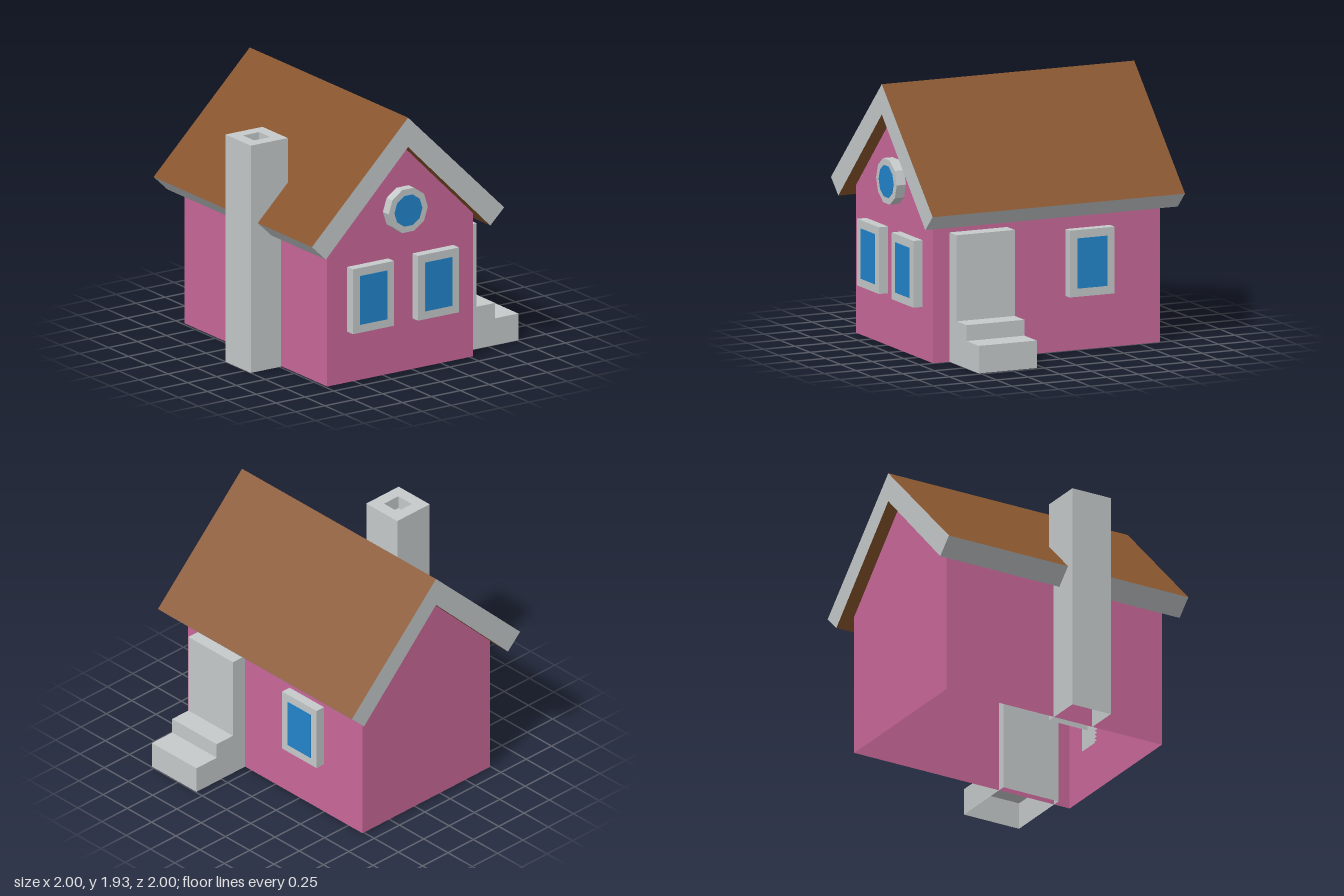
import * as THREE from 'three';

const make = (name, color) => {
  const m = new THREE.MeshStandardMaterial({ color, side: THREE.DoubleSide });
  m.name = name;
  return m;
};

// Keep only the triangles whose normal n and centre c pass the test
function keepFaces(geometry, test) {
  const src = geometry.index ? geometry.toNonIndexed() : geometry;
  const p = src.attributes.position;
  const out = [];
  const t = new THREE.Triangle();
  const n = new THREE.Vector3();
  const c = new THREE.Vector3();
  for (let i = 0; i < p.count; i += 3) {
    t.setFromAttributeAndIndices(p, i, i + 1, i + 2);
    t.getNormal(n);
    t.getMidpoint(c);
    if (test(n, c)) for (const v of [t.a, t.b, t.c]) out.push(v.x, v.y, v.z);
  }
  const g = new THREE.BufferGeometry();
  g.setAttribute('position', new THREE.Float32BufferAttribute(out, 3));
  g.computeVertexNormals();
  return g;
}

// Straight prism of an xy outline between two z values
function prism(points, z0, z1) {
  const shape = new THREE.Shape(points.map(([x, y]) => new THREE.Vector2(x, y)));
  return new THREE.ExtrudeGeometry(shape, { depth: z1 - z0, bevelEnabled: false }).translate(0, 0, z0);
}

export function createModel() {
  const pink = make('pink wall', 0xc96899);
  const grey = make('light grey stone', 0xc5c9ca);
  const brown = make('brown roof', 0x88552d);
  const blue = make('blue glass', 0x2285cb);

  const house = new THREE.Group();
  house.name = 'house';
  const add = (parent, name, geometry, material) => {
    const mesh = new THREE.Mesh(geometry, material);
    mesh.name = name;
    parent.add(mesh);
    return mesh;
  };

  const ridge = -0.11;
  const floor = 0.005;

  // Gabled walls, open below and under the roof
  const wallProfile = [[-0.74, floor], [0.52, floor], [0.52, 1.085], [ridge, 1.71], [-0.74, 1.085]];
  add(house, 'walls', keepFaces(prism(wallProfile, -0.9, 0.9), (n) => Math.abs(n.y) < 0.1), pink);

  // Roof slab: brown slopes above and below, grey ends and eaves
  const roof = prism([
    [ridge, 1.93], [ridge - 0.83, 1.11], [ridge - 0.71, 0.995],
    [ridge, 1.71], [ridge + 0.71, 0.995], [ridge + 0.83, 1.11],
  ], -1, 1);
  const isTrim = (n, c) => Math.abs(n.z) > 0.5 || (n.y < 0 && n.x * (c.x - ridge) > 0);
  add(house, 'roofSlopes', keepFaces(roof, (n, c) => !isTrim(n, c)), brown);
  add(house, 'roofTrim', keepFaces(roof, isTrim), grey);

  // Chimney: hollow shaft with a recessed flue
  const chimney = new THREE.Group();
  chimney.name = 'chimney';
  chimney.position.set(-0.84, 0, 0.155);
  house.add(chimney);
  const flueBase = 1.6;
  const shaft = new THREE.BoxGeometry(0.32, flueBase, 0.32).translate(0, flueBase / 2, 0);
  add(chimney, 'chimneyShaft', keepFaces(shaft, (n) => n.y > -0.9), grey);
  const square = (Type, r) => new Type([[-r, -r], [r, -r], [r, r], [-r, r]].map(([x, y]) => new THREE.Vector2(x, y)));
  const rim = square(THREE.Shape, 0.16);
  rim.holes.push(square(THREE.Path, 0.07));
  const rimGeometry = new THREE.ExtrudeGeometry(rim, { depth: 1.7 - flueBase, bevelEnabled: false });
  rimGeometry.rotateX(-Math.PI / 2).translate(0, flueBase, 0);
  add(chimney, 'chimneyRim', keepFaces(rimGeometry, (n) => n.y > -0.9), grey);

  // Doorway block with two steps, open below
  const steps = [
    [0.46, floor], [1, floor], [1, 0.205], [0.8, 0.205],
    [0.8, 0.32], [0.64, 0.32], [0.64, 0.945], [0.46, 0.945],
  ];
  add(house, 'doorwayAndSteps', keepFaces(prism(steps, 0.31, 0.77), (n) => n.y > -0.9), grey);

  // Windows: a frame block standing out from the wall with a thin pane on it
  const depth = 0.073;
  const paneDepth = 0.004;
  function addWindow(name, frame, pane, x, y, z, turn = 0) {
    const g = new THREE.Group();
    g.name = name;
    g.position.set(x, y, z);
    g.rotation.y = turn;
    add(g, 'windowFrame', frame, grey).position.z = depth / 2;
    add(g, 'windowPane', pane, blue).position.z = depth + paneDepth / 2;
    house.add(g);
  }
  const frame = new THREE.BoxGeometry(0.355, 0.485, depth);
  const pane = new THREE.BoxGeometry(0.235, 0.365, paneDepth);
  addWindow('frontRightWindow', frame, pane, -0.39, 0.627, 0.9);
  addWindow('frontLeftWindow', frame, pane, 0.172, 0.627, 0.9);
  addWindow('sideWindow', frame, pane, 0.52, 0.648, -0.326, Math.PI / 2);

  // Ten-sided gable window
  const disc = (r, d) => keepFaces(
    new THREE.CylinderGeometry(r, r, d, 10).rotateY(Math.PI / 2).rotateX(Math.PI / 2), () => true);
  addWindow('gableWindow', disc(0.169, depth), disc(0.12, paneDepth), -0.09, 1.225, 0.9);

  return house;
}
